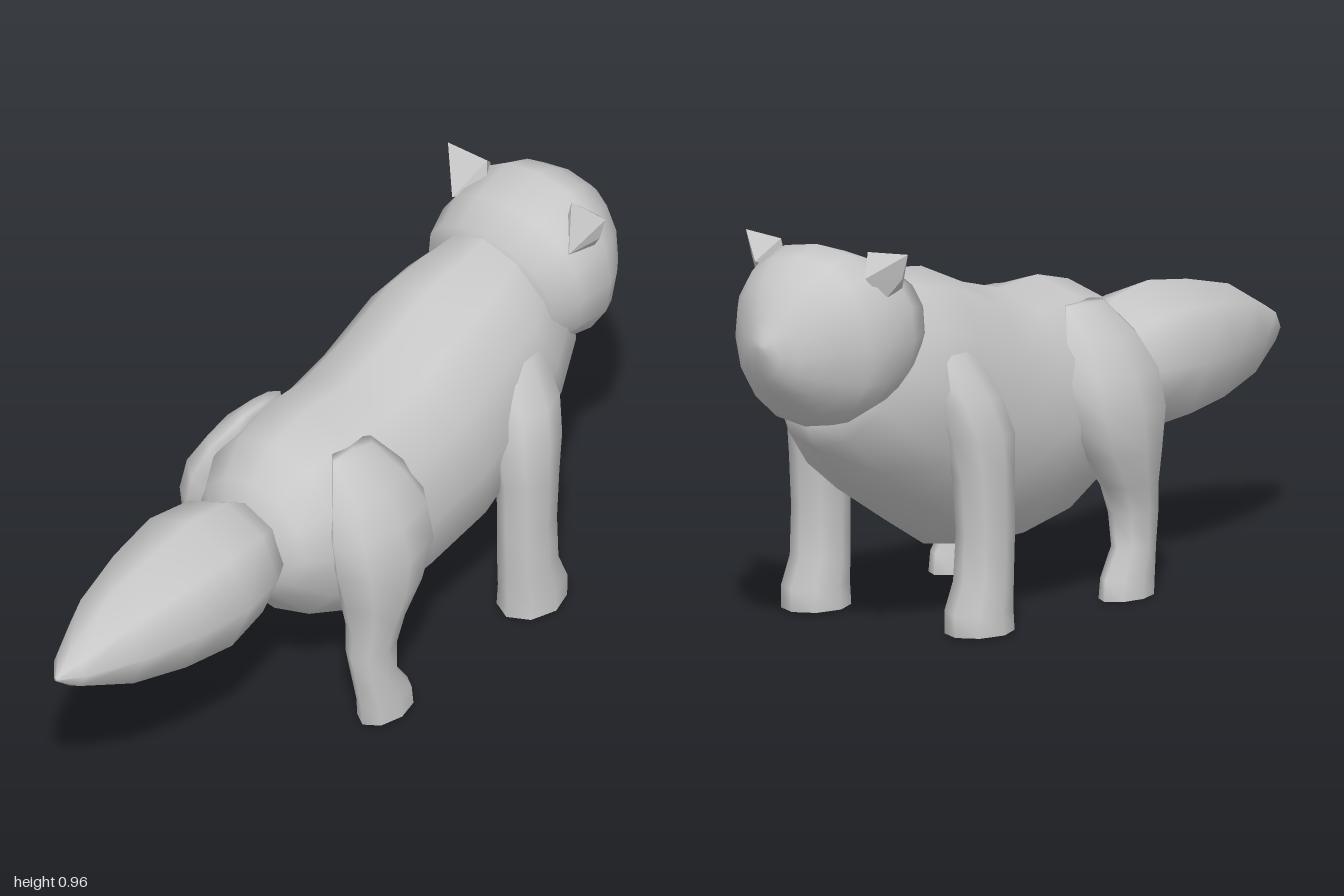
import * as THREE from 'three';
import { ConvexGeometry } from 'three/addons/geometries/ConvexGeometry.js';

const fur = new THREE.MeshStandardMaterial({ color: 0xc8c8c8 });
fur.name = 'grey fur';

// Smooth skin over elliptical rings [cx, y1, z1, y2, z2, halfWidth];
// (y1, z1) and (y2, z2) are opposite ends of each ring.
function loft(rings, sides, { power = 1, flatStart = false, sculpt = null } = {}) {
  const pos = [], index = [];
  const bend = (v) => Math.sign(v) * Math.pow(Math.abs(v), power);
  const addRing = ([cx, y1, z1, y2, z2, w]) => {
    const first = pos.length / 3;
    for (let i = 0; i < sides; i++) {
      const a = (i / sides) * Math.PI * 2;
      const c = bend(Math.cos(a)) / 2;
      const p = new THREE.Vector3(cx + w * bend(Math.sin(a)), (y1 + y2) / 2 + c * (y1 - y2), (z1 + z2) / 2 + c * (z1 - z2));
      if (sculpt) sculpt(p);
      pos.push(p.x, p.y, p.z);
    }
    return first;
  };
  const cap = (ring, first, reverse) => {
    const centre = pos.length / 3;
    pos.push(ring[0], (ring[1] + ring[3]) / 2, (ring[2] + ring[4]) / 2);
    for (let i = 0; i < sides; i++) {
      const a = first + i, b = first + (i + 1) % sides;
      if (reverse) index.push(centre, b, a);
      else index.push(centre, a, b);
    }
  };
  const starts = rings.map(addRing);
  for (let r = 0; r + 1 < rings.length; r++) {
    for (let i = 0; i < sides; i++) {
      const j = (i + 1) % sides;
      const a = starts[r] + i, b = starts[r] + j, c = starts[r + 1] + i, d = starts[r + 1] + j;
      index.push(a, b, c, b, d, c);
    }
  }
  const last = rings.length - 1;
  cap(rings[0], flatStart ? addRing(rings[0]) : starts[0], true);
  cap(rings[last], starts[last], false);
  const geo = new THREE.BufferGeometry();
  geo.setAttribute('position', new THREE.Float32BufferAttribute(pos, 3));
  geo.setIndex(index);
  geo.computeVertexNormals();
  return geo;
}

// Leg profile rows: height, centre x, centre z, half width, half depth
function leg(rows, side) {
  return loft(rows.map(([y, x, z, rx, rz]) => [side * x, y, z + rz, y, z - rz, rx]), 8, { flatStart: true });
}

// Shallow eye sockets
function eyeSockets(p) {
  const d = Math.hypot(Math.abs(p.x) - 0.085, p.y - 0.79, p.z + 0.93);
  if (d < 0.065) p.z += 0.016 * (1 - d / 0.065);
}

export function createModel() {
  const model = new THREE.Group();
  const add = (name, geo) => {
    const mesh = new THREE.Mesh(geo, fur);
    mesh.name = name;
    model.add(mesh);
  };

  // Torso, rump to neck
  add('body', loft([
    [0, 0.58, 0.31, 0.39, 0.31, 0.1],
    [0, 0.645, 0.27, 0.34, 0.285, 0.165],
    [0, 0.72, 0.19, 0.235, 0.19, 0.215],
    [0, 0.75, 0.07, 0.165, 0.04, 0.24],
    [0, 0.74, -0.07, 0.135, -0.15, 0.25],
    [0, 0.78, -0.22, 0.17, -0.37, 0.25],
    [0, 0.845, -0.38, 0.28, -0.56, 0.245],
    [0, 0.86, -0.49, 0.37, -0.69, 0.225],
    [0, 0.88, -0.59, 0.47, -0.79, 0.18],
    [0, 0.87, -0.67, 0.54, -0.83, 0.13],
  ], 12));

  // Head, back of skull to nose
  add('head', loft([
    [0, 0.89, -0.587, 0.6, -0.635, 0.19],
    [0, 0.93, -0.675, 0.555, -0.7, 0.22],
    [0, 0.965, -0.785, 0.53, -0.785, 0.226],
    [0, 0.945, -0.85, 0.53, -0.83, 0.2],
    [0, 0.91, -0.9, 0.56, -0.87, 0.166],
    [0, 0.86, -0.943, 0.59, -0.91, 0.125],
    [0, 0.81, -0.97, 0.63, -0.95, 0.082],
    [0, 0.775, -0.99, 0.675, -0.98, 0.042],
    [0, 0.755, -1, 0.725, -0.996, 0.014],
  ], 16, { power: 0.9, sculpt: eyeSockets }));

  // Bushy tail, tip to root
  add('tail', loft([
    [0, 0.485, 1, 0.475, 1, 0.005],
    [0, 0.53, 0.95, 0.435, 0.95, 0.048],
    [0, 0.605, 0.81, 0.365, 0.81, 0.115],
    [0, 0.643, 0.65, 0.325, 0.65, 0.158],
    [0, 0.665, 0.5, 0.305, 0.5, 0.18],
    [0, 0.645, 0.37, 0.33, 0.37, 0.16],
    [0, 0.605, 0.3, 0.355, 0.3, 0.12],
    [0, 0.54, 0.26, 0.42, 0.26, 0.06],
  ], 8));

  for (const side of [1, -1]) {
    const label = side > 0 ? 'left' : 'right';

    add(label + 'FrontLeg', leg([
      [0.005, 0.245, -0.47, 0.075, 0.095],
      [0.06, 0.245, -0.473, 0.073, 0.095],
      [0.13, 0.245, -0.455, 0.067, 0.08],
      [0.25, 0.247, -0.45, 0.064, 0.08],
      [0.38, 0.245, -0.455, 0.067, 0.085],
      [0.48, 0.235, -0.46, 0.075, 0.1],
      [0.57, 0.215, -0.48, 0.07, 0.1],
      [0.68, 0.17, -0.5, 0.05, 0.08],
    ], side));

    add(label + 'HindLeg', leg([
      [0, 0.255, 0.085, 0.052, 0.085],
      [0.05, 0.255, 0.09, 0.05, 0.085],
      [0.12, 0.25, 0.12, 0.046, 0.064],
      [0.2, 0.245, 0.125, 0.05, 0.074],
      [0.27, 0.245, 0.11, 0.058, 0.086],
      [0.35, 0.24, 0.085, 0.077, 0.125],
      [0.45, 0.235, 0.07, 0.085, 0.165],
      [0.54, 0.22, 0.07, 0.075, 0.165],
      [0.62, 0.19, 0.07, 0.055, 0.13],
      [0.7, 0.14, 0.07, 0.03, 0.07],
    ], side));

    // Outward pointing ear, rooted in the skull
    add(label + 'Ear', new ConvexGeometry([
      [0.243, 0.963, -0.745], [0.13, 0.957, -0.755], [0.225, 0.9, -0.745],
      [0.19, 0.85, -0.765], [0.18, 0.865, -0.685], [0.165, 0.905, -0.81],
      [0.12, 0.88, -0.74],
    ].map(([x, y, z]) => new THREE.Vector3(side * x, y, z))));
  }
  return model;
}
